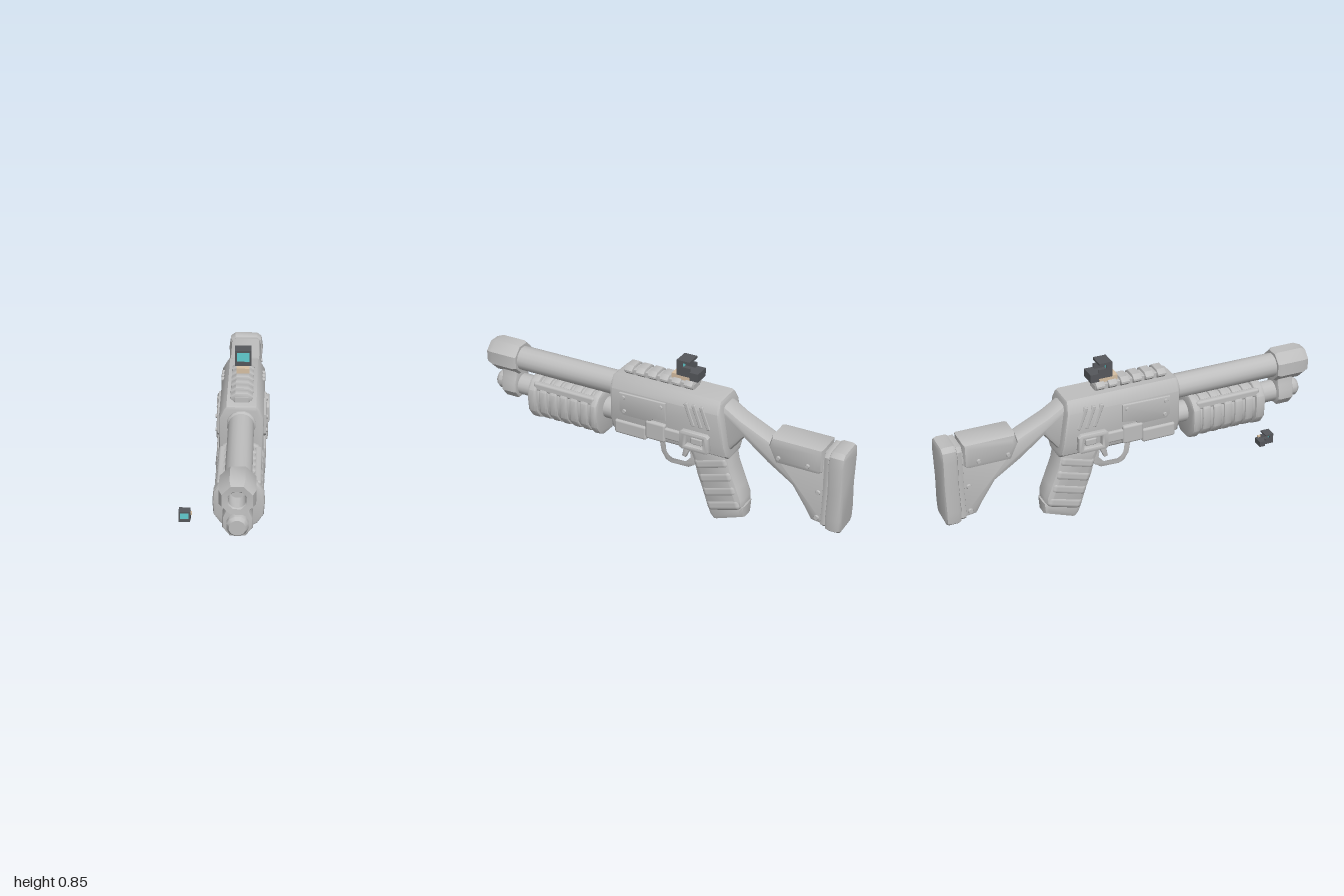
import * as THREE from 'three';
import { toCreasedNormals } from 'three/addons/utils/BufferGeometryUtils.js';
import { RoundedBoxGeometry } from 'three/addons/geometries/RoundedBoxGeometry.js';

const mat = (name, color) => Object.assign(new THREE.MeshStandardMaterial({ color }), { name });

export function createModel() {
  const grey = mat('grey', 0xbebebe), dark = mat('dark grey', 0x55575b);
  const cyan = mat('cyan glass', 0x62cdd0), tan = mat('tan', 0xd6bfa3);
  const model = new THREE.Group();
  const gun = new THREE.Group();
  gun.name = 'gun';
  gun.position.x = 0.07;
  model.add(gun);

  const add = (name, geo, material = grey, parent = gun) => {
    const m = new THREE.Mesh(geo, material);
    m.name = name;
    parent.add(m);
    return m;
  };
  const vec = (pts) => pts.map(([a, b]) => new THREE.Vector2(a, b));
  const extrude = (pts, depth, b, hole) => {
    const shape = new THREE.Shape(vec(pts));
    if (hole) shape.holes.push(new THREE.Path(vec(hole)));
    const geo = new THREE.ExtrudeGeometry(shape, {
      depth: depth - 2 * b, bevelEnabled: b > 0, bevelSize: b, bevelThickness: b, bevelOffset: -b, bevelSegments: 2,
    });
    return geo.translate(0, 0, b - depth / 2);
  };
  // Side profile in [z, y], given a width along x
  const slab = (name, pts, width, b, x = 0, hole) =>
    add(name, toCreasedNormals(extrude(pts, width, b, hole).rotateY(-Math.PI / 2).translate(x, 0, 0), 0.7));
  // Mirrored half section in [x, y] from top to bottom, run along z
  const prism = (name, half, z0, z1, b, rule) => {
    const pts = [...half, ...half.map(([x, y]) => [-x, y]).reverse()];
    const geo = extrude(pts, z1 - z0, b).translate(0, 0, (z0 + z1) / 2);
    if (rule) {
      const p = geo.attributes.position;
      for (let i = 0; i < p.count; i++) p.setZ(i, rule(p.getZ(i), p.getY(i)));
    }
    return add(name, toCreasedNormals(geo, 0.6));
  };
  // Turned part along z: profile in [radius, z]
  const turned = (name, pts, sides, y) => {
    const geo = new THREE.LatheGeometry(vec(pts), sides, Math.PI / sides).rotateX(Math.PI / 2);
    return add(name, toCreasedNormals(geo, 0.6).translate(0, y, 0));
  };
  const box = (name, size, pos, r = 0.008, material = grey, parent = gun) => {
    const geo = r ? new RoundedBoxGeometry(...size, 2, r) : new THREE.BoxGeometry(...size);
    const m = add(name, geo, material, parent);
    m.position.set(...pos);
    return m;
  };
  const bolt = (x, y, z, r = 0.013) => {
    const m = add('bolt', new THREE.CylinderGeometry(r * 0.7, r, 0.012, 8));
    m.rotation.z = -Math.sign(x) * Math.PI / 2;
    m.position.set(x, y, z);
  };

  // Barrel, muzzle and magazine tube
  turned('barrel', [[0, 0.2], [0.063, 0.2], [0.063, 0.85], [0, 0.85]], 16, 0.61);
  turned('barrelCollar', [[0, 0.22], [0.07, 0.22], [0.07, 0.25], [0.063, 0.26], [0, 0.26]], 16, 0.61);
  turned('muzzle', [[0, 0.82], [0.08, 0.82], [0.089, 0.835], [0.089, 0.965], [0.074, 1], [0.046, 0.997]], 8, 0.61);
  turned('bore', [[0.047, 0.997], [0.04, 0.99], [0.04, 0.9], [0, 0.9]], 16, 0.61);
  turned('magazineTube', [[0, 0.2], [0.056, 0.2], [0.056, 0.83], [0, 0.83]], 16, 0.457);
  prism('muzzleClamp', [[0.05, 0.56], [0.055, 0.51], [0.068, 0.48], [0.068, 0.43], [0.035, 0.387]], 0.835, 0.925, 0.012);
  turned('magazineCap', [[0, 0.9], [0.05, 0.9], [0.05, 0.955], [0.038, 0.972], [0, 0.972]], 12, 0.457);

  // Pump with end flanges and ribs
  const pump = [[0.05, 0.56], [0.085, 0.545], [0.115, 0.505], [0.12, 0.45], [0.115, 0.385], [0.085, 0.34], [0.04, 0.315]];
  const scaled = (s) => pump.map(([x, y]) => [x * s, 0.437 + (y - 0.437) * s]);
  prism('pumpCore', scaled(0.88), 0.33, 0.72, 0);
  prism('pumpFrontFlange', pump, 0.675, 0.73, 0.014);
  prism('pumpRearFlange', pump, 0.315, 0.36, 0.014);
  for (let i = 0; i < 5; i++) {
    const z = 0.395 + i * 0.061;
    prism('pumpRib', scaled(0.96), z - 0.024, z + 0.024, 0.01);
  }
  for (const s of [-1, 1]) box('pumpTopBand', [0.035, 0.045, 0.36], [s * 0.085, 0.522, 0.52], 0.012);

  // Receiver with a slanted rear end
  prism('receiver', [[0.072, 0.7], [0.085, 0.685], [0.108, 0.64], [0.108, 0.47], [0.092, 0.41], [0.06, 0.385]],
    -0.385, 0.24, 0.014, (z, y) => (z < -0.2 ? z + (y - 0.52) * 0.15 : z));

  // Mirrored receiver details
  for (const s of [-1, 1]) {
    slab('sidePanel', [[0.18, 0.63], [0.18, 0.53], [0.16, 0.51], [0.01, 0.51], [-0.01, 0.53], [-0.08, 0.54], [-0.08, 0.635]],
      0.024, 0.006, s * 0.108);
    bolt(s * 0.121, 0.61, 0.155);
    bolt(s * 0.121, 0.535, 0.15);
    bolt(s * 0.121, 0.61, -0.055);
    box('lowerBlock', [0.04, 0.075, 0.18], [s * 0.1, 0.435, 0.12], 0.012);
    box('catchBlock', [0.04, 0.1, 0.11], [s * 0.108, 0.468, -0.025], 0.012);
    box('catchLink', [0.035, 0.06, 0.1], [s * 0.105, 0.47, -0.12], 0.01);
    slab('leverFrame', [[-0.16, 0.43], [-0.16, 0.51], [-0.175, 0.522], [-0.305, 0.522], [-0.32, 0.51], [-0.32, 0.43], [-0.305, 0.42], [-0.175, 0.42]],
      0.045, 0.008, s * 0.112, [[-0.195, 0.445], [-0.195, 0.497], [-0.29, 0.497], [-0.29, 0.445]]);
    box('leverButton', [0.03, 0.035, 0.06], [s * 0.108, 0.471, -0.25], 0.006);
    for (let i = 0; i < 3; i++) {
      const rib = box('slantedRib', [0.02, 0.125, 0.022], [s * 0.101, 0.603, -0.205 - i * 0.042], 0.006);
      rib.rotation.x = 0.37;
    }
  }

  // Top rail
  box('railBase', [0.07, 0.04, 0.38], [0, 0.71, 0], 0.005);
  for (let i = 0; i < 6; i++) {
    const z = 0.165 - i * 0.066;
    prism('railTooth', [[0.03, 0.745], [0.055, 0.727], [0.055, 0.717], [0.035, 0.7]], z - 0.023, z + 0.023, 0.004);
  }

  // Trigger, guard and grip
  slab('triggerGuard', [[0.015, 0.41], [-0.005, 0.3], [-0.03, 0.26], [-0.06, 0.247], [-0.16, 0.25], [-0.22, 0.29], [-0.21, 0.41]],
    0.055, 0.008, 0, [[-0.02, 0.385], [-0.028, 0.31], [-0.045, 0.285], [-0.07, 0.272], [-0.15, 0.275], [-0.182, 0.31], [-0.17, 0.385]]);
  slab('trigger', [[-0.11, 0.4], [-0.125, 0.35], [-0.115, 0.3], [-0.135, 0.295], [-0.155, 0.34], [-0.155, 0.4]], 0.03, 0.005);
  slab('grip', [[-0.165, 0.41], [-0.2, 0.33], [-0.22, 0.25], [-0.25, 0.17], [-0.282, 0.07], [-0.475, 0.12],
    [-0.475, 0.16], [-0.45, 0.225], [-0.41, 0.33], [-0.39, 0.43]], 0.138, 0.032);
  slab('gripBase', [[-0.265, 0.1], [-0.29, 0.03], [-0.315, 0], [-0.335, 0.005], [-0.48, 0.06], [-0.485, 0.13]], 0.105, 0.025);
  for (let i = 0; i < 4; i++) {
    const band = box('gripBand', [0.146, 0.066, 0.19], [0, 0.335 - i * 0.073, -0.302 - i * 0.024], 0.025);
    band.rotation.x = 0.3;
  }

  // Stock, cheek rest and butt pad
  slab('stock', [[-0.32, 0.67], [-0.37, 0.665], [-0.45, 0.615], [-0.62, 0.535], [-0.92, 0.55], [-0.92, 0.16], [-0.835, 0.17],
    [-0.8, 0.23], [-0.73, 0.335], [-0.6, 0.42], [-0.47, 0.52], [-0.4, 0.43], [-0.32, 0.42]], 0.12, 0.025);
  slab('cheekRest', [[-0.61, 0.53], [-0.625, 0.585], [-0.89, 0.585], [-0.89, 0.46], [-0.87, 0.445], [-0.65, 0.445]], 0.168, 0.028);
  prism('buttPad', [[0.06, 0.585], [0.085, 0.565], [0.093, 0.51], [0.082, 0.365], [0.092, 0.23], [0.085, 0.165], [0.06, 0.145]],
    -1, -0.92, 0.018);
  prism('buttPlate', [[0.06, 0.575], [0.076, 0.55], [0.068, 0.365], [0.076, 0.18], [0.055, 0.16]], -0.925, -0.895, 0.005);
  for (const s of [-1, 1]) {
    bolt(s * 0.087, 0.485, -0.67);
    bolt(s * 0.087, 0.485, -0.82);
    bolt(s * 0.062, 0.34, -0.87, 0.016);
    bolt(s * 0.062, 0.2, -0.87, 0.016);
  }

  // Reflex sight: hooded frame, glass and rear housing
  const sight = (name, x, y, z, k) => {
    const g = new THREE.Group();
    g.name = name;
    g.position.set(x, y, z);
    g.scale.setScalar(k);
    model.add(g);
    const part = (n, size, pos, m = dark) => box(n, size, pos, 0, m, g);
    part('frameTop', [0.082, 0.012, 0.068], [0, 0.09, -0.034]);
    for (const s of [-1, 1]) {
      part('framePost', [0.01, 0.07, 0.03], [s * 0.036, 0.05, -0.015]);
      part('frameCheek', [0.01, 0.03, 0.04], [s * 0.036, 0.048, -0.05]);
    }
    part('frameLip', [0.082, 0.02, 0.07], [0, 0.025, -0.035]);
    part('rearHousing', [0.082, 0.043, 0.045], [0, 0.0215, -0.0925]);
    part('glass', [0.063, 0.051, 0.004], [0, 0.0595, -0.008], cyan);
  };
  sight('topSight', 0.07, 0.75, -0.1, 1);
  sight('smallSight', -0.181, 0.312, 0.69, 0.65);

  // Tan mounts
  box('sightMount', [0.064, 0.026, 0.105], [0, 0.751, -0.12], 0, tan);
  box('pumpPlate', [0.06, 0.02, 0.1], [0, 0.329, 0.64], 0, tan);
  box('smallMount', [0.012, 0.012, 0.02], [-0.224, 0.341, 0.64], 0, tan);

  return model;
}
